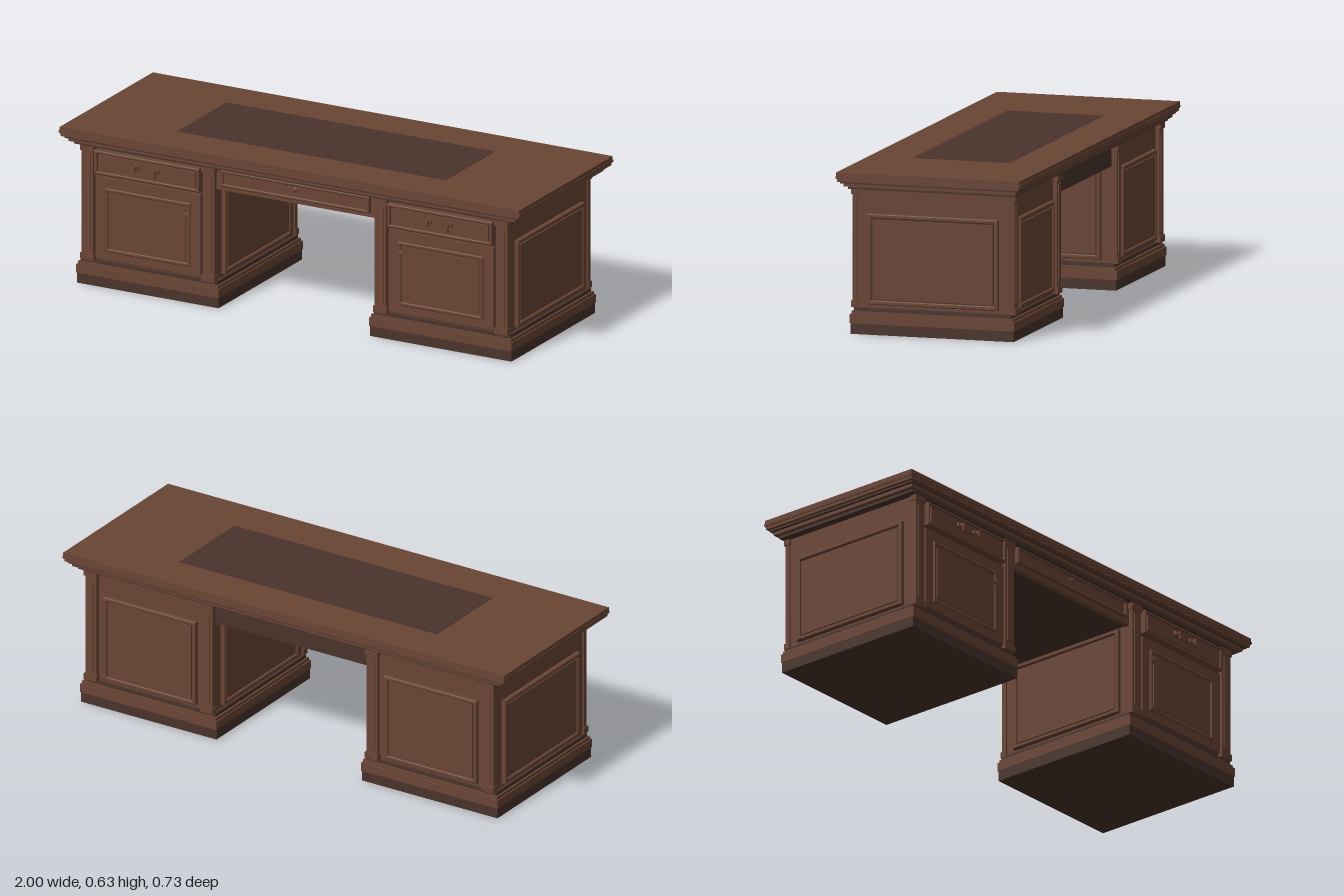
import * as THREE from 'three';

const wood = new THREE.MeshStandardMaterial({ color: 0x694534 });
wood.name = 'warm wood';
const dark = new THREE.MeshStandardMaterial({ color: 0x49342b });
dark.name = 'dark wood';

// Box given by its limits on each axis
function block(parent, name, mat, [x0, x1], [y0, y1], [z0, z1]) {
  const mesh = new THREE.Mesh(new THREE.BoxGeometry(x1 - x0, y1 - y0, z1 - z0), mat);
  mesh.position.set((x0 + x1) / 2, (y0 + y1) / 2, (z0 + z1) / 2);
  mesh.name = name;
  parent.add(mesh);
  return mesh;
}

// Box centred on x and z
const slab = (parent, name, mat, hx, y0, y1, hz) =>
  block(parent, name, mat, [-hx, hx], [y0, y1], [-hz, hz]);

// Rectangular moulding around an opening, facing +z
function frame(parent, name, w, h, border, depth, bevel) {
  const rect = (C, hw, hh) => new C([[-hw, -hh], [hw, -hh], [hw, hh], [-hw, hh]]
    .map(([x, y]) => new THREE.Vector2(x, y)));
  const shape = rect(THREE.Shape, w / 2 - bevel, h / 2 - bevel);
  shape.holes.push(rect(THREE.Path, w / 2 - border + bevel, h / 2 - border + bevel));
  const geo = new THREE.ExtrudeGeometry(shape, {
    depth: depth - bevel, bevelEnabled: true, bevelSegments: 1, bevelSize: bevel, bevelThickness: bevel,
  });
  const mesh = new THREE.Mesh(geo, wood);
  mesh.name = name;
  parent.add(mesh);
  return mesh;
}

// Raised panel with moulded border, facing +z
function raisedPanel(name, w, h) {
  const g = new THREE.Group();
  g.name = name;
  frame(g, 'panelMoulding', w, h, 0.016, 0.018, 0.003);
  block(g, 'panelField', wood, [-w / 2 + 0.021, w / 2 - 0.021], [-h / 2 + 0.021, h / 2 - 0.021], [0, 0.014]);
  block(g, 'panelGroove', dark, [-w / 2 + 0.01, w / 2 - 0.01], [-h / 2 + 0.01, h / 2 - 0.01], [0, 0.007]);
  return g;
}

// Bail pull with two rosettes
function drawerPull() {
  const g = new THREE.Group();
  g.name = 'drawerPull';
  for (const x of [-0.045, 0.045]) {
    const rosette = new THREE.Mesh(new THREE.CylinderGeometry(0.012, 0.014, 0.006, 16), wood);
    rosette.rotation.x = Math.PI / 2;
    rosette.position.set(x, 0.006, 0.002);
    rosette.name = 'rosette';
    g.add(rosette);
    block(g, 'pullArm', wood, [x - 0.005, x + 0.005], [0.002, 0.011], [0, 0.025]);
    block(g, 'pullDrop', wood, [x - 0.005, x + 0.005], [-0.022, 0.011], [0.017, 0.025]);
  }
  block(g, 'pullBar', wood, [-0.045, 0.045], [-0.022, -0.013], [0.017, 0.025]);
  return g;
}

// Small turned knob, facing +z
function knob() {
  const pts = [[0, 0], [0.012, 0], [0.012, 0.002], [0.004, 0.003], [0.004, 0.006], [0.007, 0.008], [0.006, 0.011], [0, 0.012]];
  const mesh = new THREE.Mesh(new THREE.LatheGeometry(pts.map(([x, y]) => new THREE.Vector2(x, y)), 16), wood);
  mesh.rotation.x = Math.PI / 2;
  mesh.name = 'knob';
  return mesh;
}

// One cabinet, centred on its own x; side is +1 or -1
function pedestal(side) {
  const g = new THREE.Group();
  g.name = side > 0 ? 'leftPedestal' : 'rightPedestal';

  // Stepped base
  slab(g, 'plinth', dark, 0.307, 0, 0.041, 0.325);
  slab(g, 'baseBoard', wood, 0.309, 0.041, 0.075, 0.328);
  slab(g, 'baseStep', wood, 0.304, 0.075, 0.087, 0.322);
  slab(g, 'baseCove', dark, 0.296, 0.087, 0.101, 0.314);
  slab(g, 'carcass', wood, 0.283, 0.1, 0.56, 0.306);

  // Corner posts with foot and cap blocks
  for (const sx of [-1, 1]) for (const sz of [-1, 1]) {
    const span = (s, a, b) => (s > 0 ? [a, b] : [-b, -a]);
    block(g, 'postShaft', wood, span(sx, 0.238, 0.288), [0.1, 0.56], span(sz, 0.303, 0.323));
    block(g, 'postFillet', wood, span(sx, 0.249, 0.277), [0.14, 0.52], span(sz, 0.32, 0.3265));
    block(g, 'postFoot', wood, span(sx, 0.234, 0.292), [0.1, 0.125], span(sz, 0.3, 0.328));
    block(g, 'postCap', wood, span(sx, 0.234, 0.292), [0.535, 0.56], span(sz, 0.3, 0.328));
  }

  // Panels on both sides and the back
  for (const s of [-1, 1]) {
    const p = raisedPanel('sidePanel', 0.52, 0.348);
    p.rotation.y = s * Math.PI / 2;
    p.position.set(s * 0.2835, 0.289, 0);
    g.add(p);
  }
  const back = raisedPanel('backPanel', 0.42, 0.348);
  back.rotation.y = Math.PI;
  back.position.set(0, 0.289, -0.3055);
  g.add(back);

  // Drawer
  block(g, 'drawerFront', wood, [-0.228, 0.228], [0.452, 0.547], [0.3, 0.325]);
  frame(g, 'drawerMoulding', 0.456, 0.095, 0.012, 0.012, 0.003).position.set(0, 0.4995, 0.324);
  block(g, 'drawerField', wood, [-0.21, 0.21], [0.468, 0.531], [0.32, 0.334]);
  const pull = drawerPull();
  pull.position.set(0, 0.502, 0.336);
  g.add(pull);

  // Door below, hinged on the outer side
  block(g, 'doorShadowGap', dark, [-0.232, 0.232], [0.104, 0.55], [0.3, 0.308]);
  block(g, 'door', wood, [-0.228, 0.228], [0.112, 0.441], [0.3, 0.322]);
  frame(g, 'doorMoulding', 0.37, 0.255, 0.014, 0.009, 0.003).position.set(0, 0.272, 0.32);
  block(g, 'doorField', wood, [-0.165, 0.165], [0.165, 0.379], [0.32, 0.326]);
  const k = knob();
  k.position.set(-side * 0.173, 0.354, 0.326);
  g.add(k);

  g.position.x = side * 0.636;
  return g;
}

export function createModel() {
  const desk = new THREE.Group();
  desk.name = 'desk';

  // Top with stepped moulding beneath
  const top = new THREE.Group();
  top.name = 'deskTop';
  slab(top, 'topBoard', wood, 0.998, 0.601, 0.626, 0.364);
  slab(top, 'topBead', wood, 1, 0.604, 0.612, 0.366);
  slab(top, 'topLowerEdge', wood, 0.994, 0.59, 0.601, 0.361);
  slab(top, 'mouldingUpper', dark, 0.982, 0.582, 0.59, 0.353);
  slab(top, 'mouldingMiddle', wood, 0.97, 0.569, 0.582, 0.344);
  slab(top, 'mouldingLower', dark, 0.952, 0.558, 0.569, 0.331);
  block(top, 'writingPad', dark, [-0.583, 0.583], [0.62, 0.627], [-0.193, 0.19]);
  desk.add(top);

  // Pedestals
  for (const side of [1, -1]) desk.add(pedestal(side));

  // Centre drawer bridging the kneehole
  const centre = new THREE.Group();
  centre.name = 'centreDrawer';
  block(centre, 'drawerBox', dark, [-0.36, 0.36], [0.473, 0.56], [-0.298, 0.298]);
  block(centre, 'drawerRail', wood, [-0.36, 0.36], [0.469, 0.56], [0.285, 0.306]);
  block(centre, 'drawerFront', wood, [-0.322, 0.322], [0.488, 0.554], [0.3, 0.314]);
  frame(centre, 'drawerMoulding', 0.644, 0.066, 0.011, 0.009, 0.003).position.set(0, 0.521, 0.313);
  const k = knob();
  k.position.set(0, 0.528, 0.314);
  centre.add(k);
  desk.add(centre);

  return desk;
}
